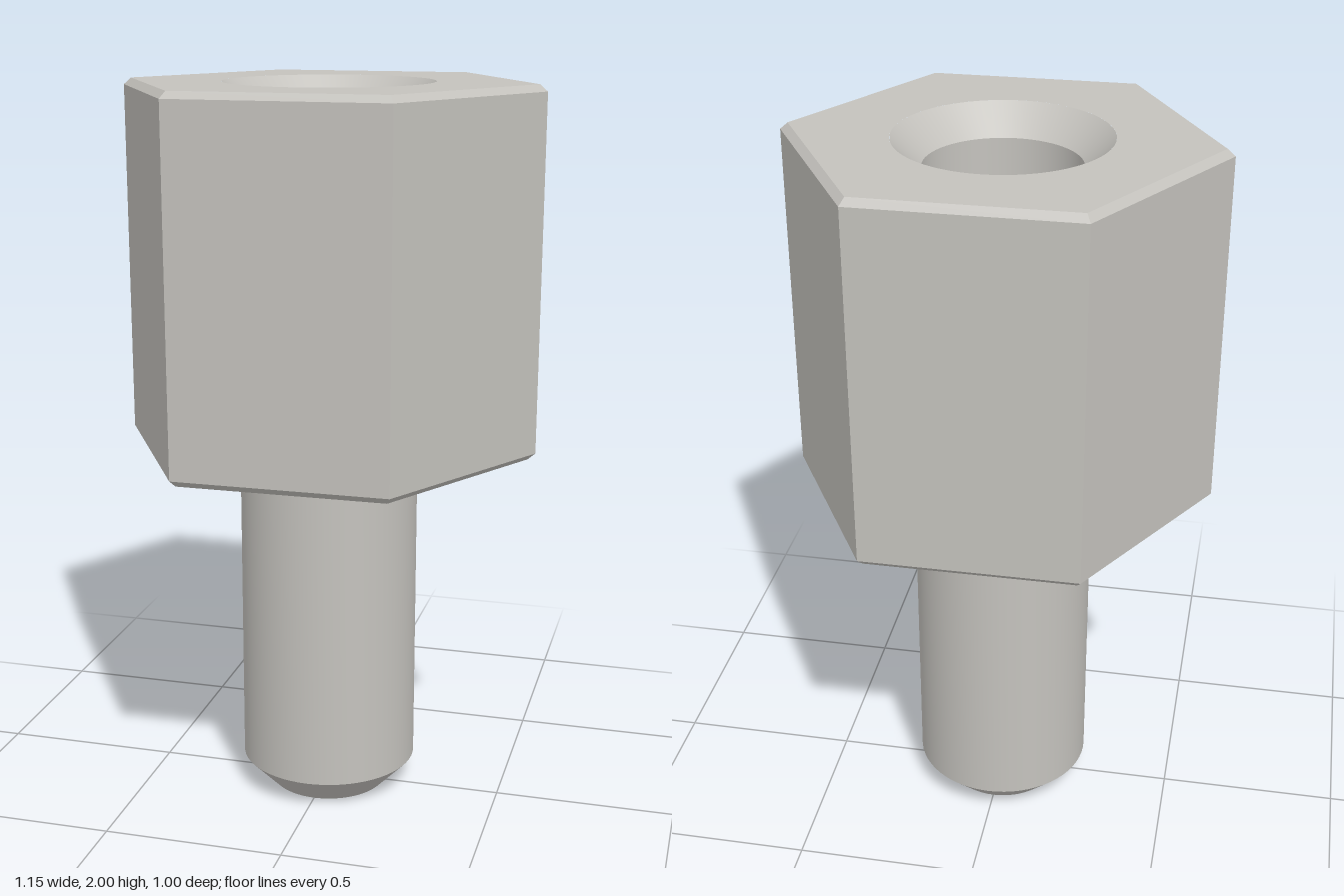
import * as THREE from 'three';
import { toCreasedNormals } from 'three/addons/utils/BufferGeometryUtils.js';

const SEGMENTS = 64;
const BODY_BOTTOM = 1.005;
const BODY_TOP = 2;
const CORNER = 1 / Math.sqrt(3); // corner radius of a hexagon 1 unit across flats
const CHAMFER = 0.018;
const CHAMFER_CORNER = CORNER - CHAMFER * 2 / Math.sqrt(3);
const SINK_RADIUS = 0.283;

const steel = new THREE.MeshStandardMaterial({ color: 0xc4c2bd });
steel.name = 'steel';

// Revolves a profile of [radius, height] pairs, keeping its edges sharp
function turned(name, profile, sides = SEGMENTS) {
  const points = profile.map(([r, y]) => new THREE.Vector2(r, y));
  const geometry = new THREE.LatheGeometry(points, sides, Math.PI / 2);
  const mesh = new THREE.Mesh(toCreasedNormals(geometry, Math.PI / 9), steel);
  mesh.name = name;
  return mesh;
}

// Hexagonal end face with a round opening
function createTopFace() {
  const corners = Array.from({ length: 6 }, (_, i) => {
    const a = i * Math.PI / 3;
    return new THREE.Vector2(CHAMFER_CORNER * Math.cos(a), CHAMFER_CORNER * Math.sin(a));
  });
  const shape = new THREE.Shape(corners);
  shape.holes.push(new THREE.Path().absarc(0, 0, SINK_RADIUS, 0, Math.PI * 2, true));
  const geometry = new THREE.ShapeGeometry(shape, SEGMENTS);
  geometry.rotateX(-Math.PI / 2);
  const mesh = new THREE.Mesh(geometry, steel);
  mesh.name = 'topFace';
  mesh.position.y = BODY_TOP;
  return mesh;
}

export function createModel() {
  const model = new THREE.Group();
  model.name = 'hexStandoff';

  // Hexagonal body: underside, chamfers and six flats
  model.add(turned('hexBody', [
    [0.2, BODY_BOTTOM],
    [CHAMFER_CORNER, BODY_BOTTOM],
    [CORNER, BODY_BOTTOM + CHAMFER],
    [CORNER, BODY_TOP - CHAMFER],
    [CHAMFER_CORNER, BODY_TOP],
  ], 6));
  model.add(createTopFace());

  // Countersunk blind hole, listed downwards so that it faces inwards
  model.add(turned('bore', [
    [SINK_RADIUS, BODY_TOP],
    [0.206, BODY_TOP - 0.077],
    [0.206, 1.2],
    [0, 1.2],
  ]));

  // Round stud with a chamfered tip
  model.add(turned('stud', [
    [0, 0],
    [0.165, 0],
    [0.247, 0.085],
    [0.247, BODY_BOTTOM + 0.005],
  ]));

  return model;
}
